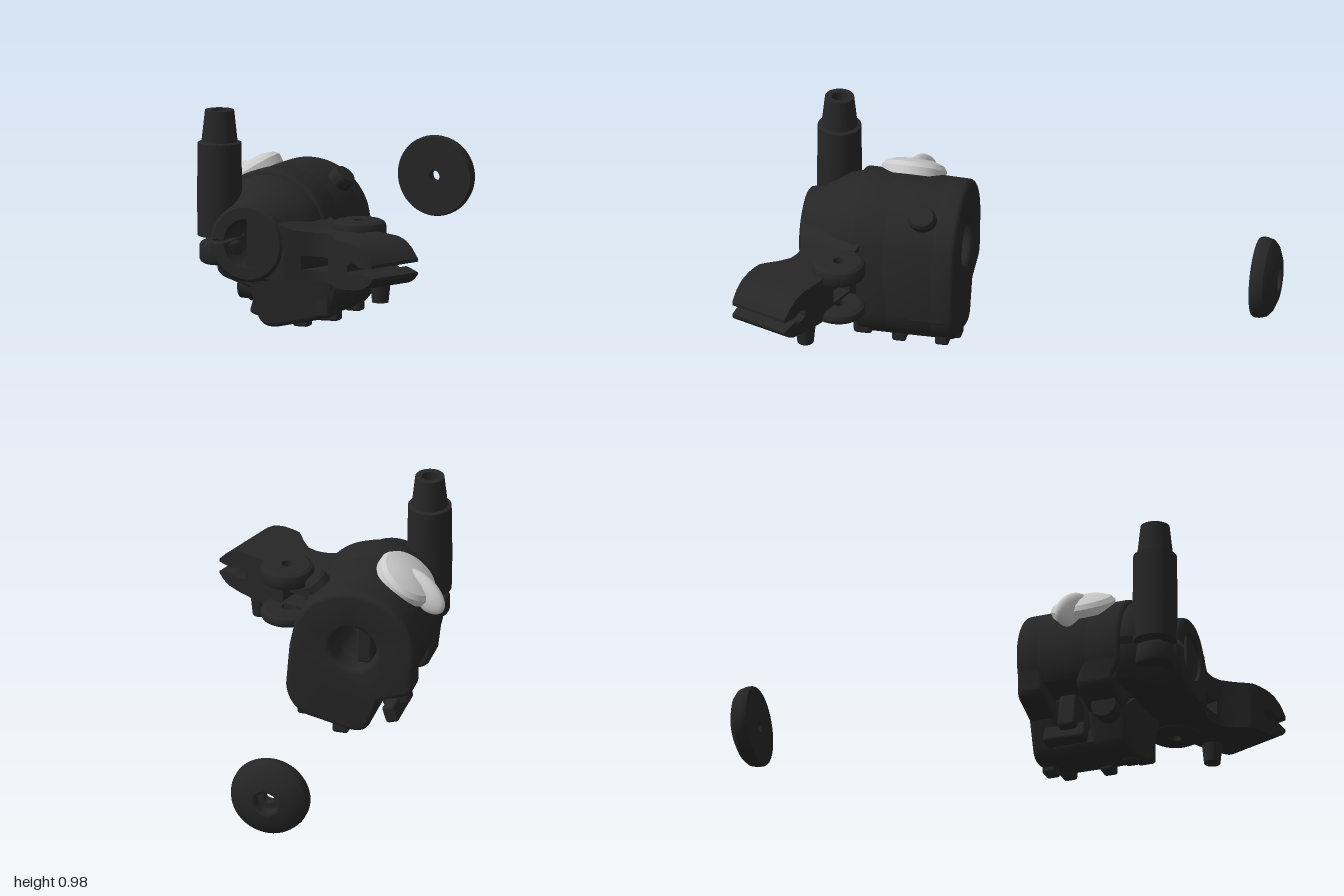
import * as THREE from 'three';
import { toCreasedNormals } from 'three/addons/utils/BufferGeometryUtils.js';
import { RoundedBoxGeometry } from 'three/addons/geometries/RoundedBoxGeometry.js';

const black = new THREE.MeshStandardMaterial({ color: 0x262626, side: THREE.DoubleSide });
const grey = new THREE.MeshStandardMaterial({ color: 0xcccccc });
const V2 = (p) => new THREE.Vector2(p[0], p[1]);

function add(parent, name, geometry, pos = [0, 0, 0], rot = [0, 0, 0], material = black) {
  const mesh = new THREE.Mesh(geometry, material);
  mesh.name = name;
  mesh.position.set(...pos);
  mesh.rotation.set(...rot);
  parent.add(mesh);
  return mesh;
}

// Turned part; points are [radius, height], outer side upward
const turned = (points, seg = 48) =>
  toCreasedNormals(new THREE.LatheGeometry(points.map(V2), seg), 0.5);

// Closed ring with a bore and rounded rims
const ring = (rIn, rOut, y0, y1) => {
  const b = 0.02;
  return turned([[rIn, y0], [rOut - b, y0], [rOut - b * 0.3, y0 + b * 0.4], [rOut, y0 + b], [rOut, y1 - b],
    [rOut - b * 0.3, y1 - b * 0.4], [rOut - b, y1], [rIn, y1], [rIn, y0]]);
};

const box = (w, h, d, r = 0.015) => new RoundedBoxGeometry(w, h, d, 3, r);

// Move every vertex by a rule
function reshape(g, rule) {
  const p = g.attributes.position;
  for (let i = 0; i < p.count; i++) p.setXYZ(i, ...rule(p.getX(i), p.getY(i), p.getZ(i)));
  return toCreasedNormals(g, 0.5);
}

// Piecewise linear lookup in [key, value] pairs
function lookup(table, k) {
  if (k <= table[0][0]) return table[0][1];
  for (let i = 1; i < table.length; i++) {
    const [k0, v0] = table[i - 1], [k1, v1] = table[i];
    if (k <= k1) return v0 + (v1 - v0) * (k - k0) / (k1 - k0);
  }
  return table[table.length - 1][1];
}

// Slice of the switch housing: drum on top, box below, bored for the bar;
// a recessed slice leaves out the rear ledge
function housingSlice(u0, u1, recessed) {
  const s = new THREE.Shape();
  s.absarc(0, 0, 0.275, recessed ? -0.5 : -0.3, Math.PI - 0.3, false);
  s.lineTo(-0.285, -0.03);
  s.lineTo(-0.3, -0.22);
  s.quadraticCurveTo(-0.29, -0.33, -0.2, -0.36);
  s.lineTo(-0.02, -0.4);
  s.quadraticCurveTo(0.05, -0.41, 0.07, -0.36);
  if (recessed) {
    s.lineTo(0.06, -0.3);
    s.lineTo(0.11, -0.16);
    s.lineTo(0.2, -0.15);
  } else {
    s.lineTo(0.11, -0.24);
    s.lineTo(0.22, -0.205);
    s.quadraticCurveTo(0.262, -0.19, 0.262, -0.15);
  }
  s.closePath();
  const hole = new THREE.Path();
  hole.absarc(0, 0, 0.1, 0, Math.PI * 2, true);
  s.holes.push(hole);
  const b = 0.022;
  const g = new THREE.ExtrudeGeometry(s, {
    depth: u1 - u0 - 2 * b, bevelSize: b, bevelThickness: b, bevelOffset: -b, bevelSegments: 4, curveSegments: 40,
  });
  g.translate(0, 0, u0 + b).rotateY(Math.PI / 2);
  // drum narrows toward the outer end, box is a little shorter than the drum
  return reshape(g, (u, v, w) => [
    u < -0.2 && v < -0.12 ? u * 0.92 : u,
    v > 0 ? v * (1.03 - 0.05 * (u + 0.47) / 0.47) : v,
    w,
  ]);
}

// Tapered clamp around the bar, split at the rear and flattened below
function clampGeometry() {
  const pts = [[0.105, -0.7], [0.155, -0.7], [0.167, -0.69], [0.175, -0.64], [0.21, -0.58], [0.245, -0.53],
    [0.262, -0.47], [0.262, -0.43], [0.105, -0.43], [0.105, -0.7]];
  const g = new THREE.LatheGeometry(pts.map(V2), 64, Math.PI + 0.07, Math.PI * 2 - 0.14).rotateZ(-Math.PI / 2);
  return reshape(g, (u, v, w) => [u, Math.max(v, -0.165), w]);
}

// Lever bracket piece: a bar along z, waisted in plan, with its own upper and lower edge
function bracketPiece(z0, z1, bottom, top) {
  const left = [[0.1, -0.92], [0.27, -0.865], [0.33, -0.82], [0.37, -0.79], [0.42, -0.772], [0.47, -0.775],
    [0.52, -0.805], [0.58, -0.855], [0.61, -0.86], [0.77, -0.855], [0.8, -0.85]];
  const right = [[0.1, -0.6], [0.27, -0.57], [0.45, -0.57], [0.56, -0.565], [0.8, -0.58]];
  return reshape(new THREE.BoxGeometry(1, 1, 1, 1, 1, 36), (x, y, z) => {
    const zz = z0 + (z + 0.5) * (z1 - z0);
    const a = lookup(left, zz), c = lookup(right, zz), lo = lookup(bottom, zz), hi = lookup(top, zz);
    return [a + (x + 0.5) * (c - a), lo + (y + 0.5) * (hi - lo), zz];
  });
}

export function createModel() {
  const model = new THREE.Group();
  model.name = 'handlebarControls';

  // Everything on the bar: local x runs outward along the bar
  const bar = new THREE.Group();
  bar.name = 'barParts';
  bar.position.set(-0.29, 0.43, -0.15);
  bar.rotation.y = 0.39;
  model.add(bar);

  add(bar, 'housingOuter', housingSlice(-0.12, 0, false));
  add(bar, 'housingMiddle', housingSlice(-0.334, -0.076, true));
  add(bar, 'housingInner', housingSlice(-0.47, -0.29, false));
  add(bar, 'barClamp', clampGeometry());
  add(bar, 'innerBridge', box(0.1, 0.18, 0.07), [-0.1, 0, -0.035]);

  // Dial with pointer, tilted back on the drum
  const dial = new THREE.Group();
  dial.name = 'dial';
  dial.position.set(-0.268, 0.224, -0.16);
  dial.rotation.x = -0.6;
  bar.add(dial);
  add(dial, 'dialDisc', turned([[0, -0.02], [0.137, -0.02], [0.14, 0.015], [0.125, 0.035], [0.08, 0.052], [0, 0.06]]),
    [0, 0, 0], [0, 0, 0], grey);
  const pointer = add(dial, 'dialPointer', new THREE.SphereGeometry(1, 24, 16), [0.022, 0.015, -0.085], [0, -0.28, 0], grey);
  pointer.scale.set(0.04, 0.07, 0.125);

  // Push button on the upper front
  const button = add(bar, 'topButton', turned([[0, -0.03], [0.062, -0.03], [0.062, 0.015], [0.052, 0.03], [0, 0.034]]),
    [-0.155, 0.212, 0.2], [0.72, 0, 0]);
  button.scale.set(1, 1, 0.85);

  // Rear thumb switches, sitting in the recess
  add(bar, 'switchStem', box(0.08, 0.16, 0.12), [-0.2, -0.26, -0.13], [0.2, 0, 0]);
  add(bar, 'switchPaddle', box(0.19, 0.08, 0.06), [-0.18, -0.345, -0.14], [0.3, 0, 0]);
  add(bar, 'hornButton', new THREE.CylinderGeometry(0.055, 0.06, 0.1, 32), [-0.36, -0.24, -0.12], [-Math.PI / 2, 0, 0]);

  // Front trigger and small feet below
  add(bar, 'triggerSwitch', box(0.08, 0.15, 0.07), [-0.4, -0.27, 0.235]);
  add(bar, 'frontRib', box(0.16, 0.03, 0.03, 0.01), [-0.12, -0.23, 0.285]);
  for (const [u, w, v] of [[-0.04, 0.06, -0.4], [-0.06, 0.22, -0.345], [-0.25, 0.2, -0.36], [-0.38, 0.12, -0.37]])
    add(bar, 'lowerFoot', box(0.06, 0.05, 0.07, 0.012), [u, v, w]);

  // Separate domed bar end with a countersunk bore
  add(bar, 'barEnd', turned([[0.025, 0], [0.168, 0], [0.173, 0.01], [0.173, 0.03], [0.165, 0.058], [0.145, 0.077],
    [0.105, 0.094], [0.06, 0.102], [0.05, 0.098], [0.05, 0.05], [0.025, 0.05], [0.025, 0]]),
  [1.257, -0.012, -0.003], [0, 0, -Math.PI / 2]);

  // Mirror stalk with boot, and the clamp boss below the split
  add(model, 'mirrorStalk', turned([[0.035, 0.9], [0.035, 0.44], [0.093, 0.44], [0.096, 0.6], [0.093, 0.84],
    [0.077, 0.845], [0.062, 0.98], [0.035, 0.98], [0.035, 0.9]]), [-0.905, 0, -0.082]);
  add(model, 'lowerClampBoss', ring(0.035, 0.09, 0.32, 0.42), [-0.9, 0, -0.08]);

  // Lever bracket: upper and lower plates forming a fork, joined by a web and a root block
  const bracket = new THREE.Group();
  bracket.name = 'leverBracket';
  model.add(bracket);
  add(bracket, 'upperPlate', bracketPiece(0.1, 0.8,
    [[0.655, 0.39], [0.67, 0.403], [0.69, 0.408], [0.71, 0.403], [0.725, 0.39], [0.8, 0.395]],
    [[0.22, 0.53], [0.32, 0.495], [0.67, 0.49], [0.72, 0.478], [0.76, 0.452], [0.8, 0.41]]));
  add(bracket, 'lowerPlate', bracketPiece(0.1, 0.8,
    [[0.53, 0.28], [0.69, 0.29], [0.75, 0.3], [0.785, 0.322], [0.8, 0.34]],
    [[0.45, 0.33], [0.655, 0.37], [0.67, 0.357], [0.69, 0.352], [0.71, 0.357], [0.725, 0.368], [0.8, 0.35]]));
  add(bracket, 'web', bracketPiece(0.45, 0.655, [[0, 0.3]], [[0, 0.45]]));
  add(bracket, 'rootBlock', bracketPiece(0.1, 0.33, [[0, 0.29]], [[0, 0.45]]));
  for (const [y0, y1] of [[0.45, 0.527], [0.268, 0.318]])
    add(bracket, 'pivotEar', ring(0.025, 0.115, y0, y1), [-0.563, 0, 0.42]);
  add(bracket, 'adjuster', new THREE.CylinderGeometry(0.045, 0.035, 0.1, 24), [-0.61, 0.25, 0.6]);

  return model;
}
